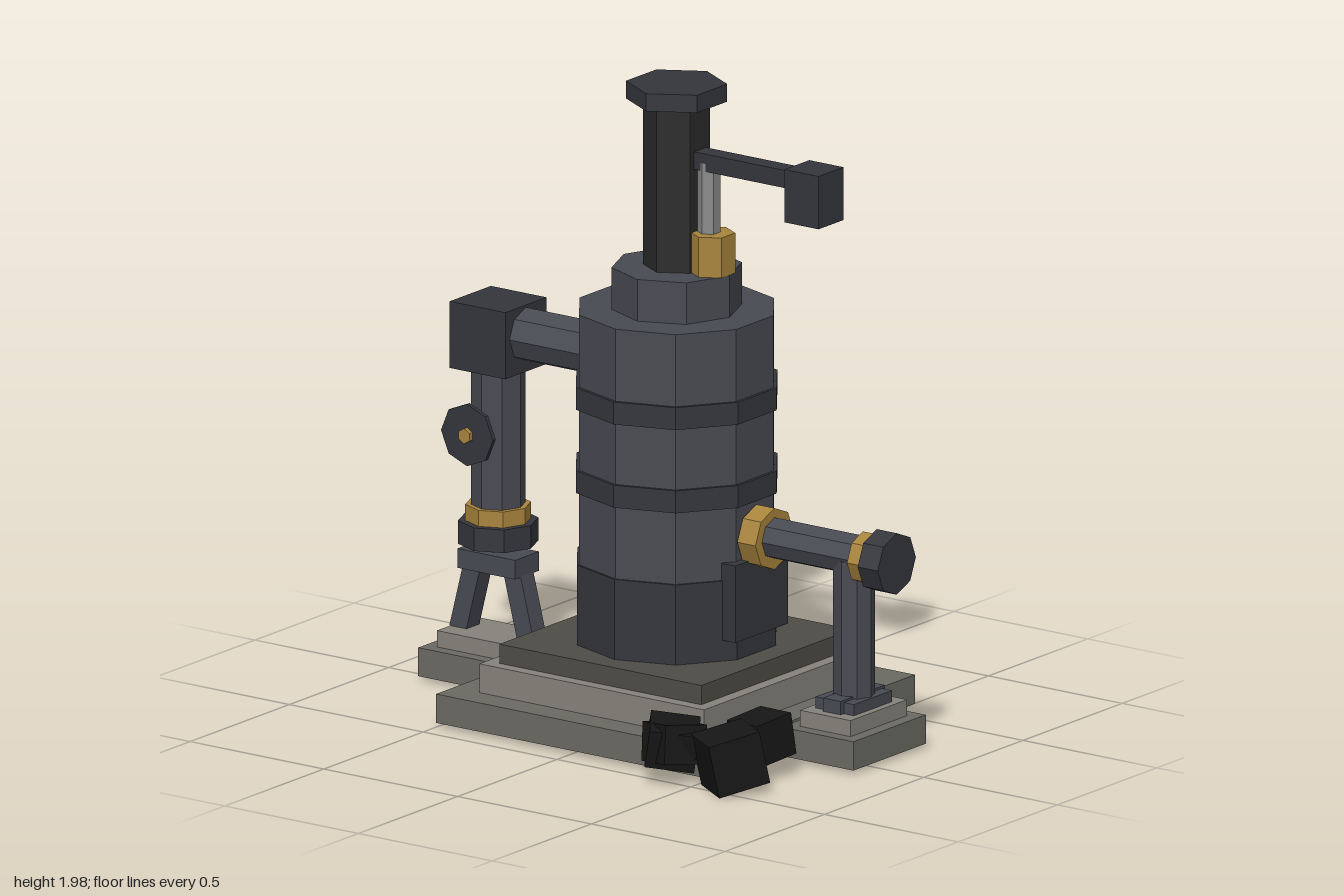
import * as THREE from 'three';

const Z = -0.08; // centre line of the machine
const mat = (color) => new THREE.MeshStandardMaterial({ color, flatShading: true });

const iron = mat(0x484a52);
const darkIron = mat(0x34363c);
const soot = mat(0x2a2a2a);
const brass = mat(0xa8843c);
const steel = mat(0x8a8a8a);
const stone = mat(0x6b6a62);
const paleStone = mat(0x85837a);
const darkStone = mat(0x4e4c47);
const coal = mat(0x161617);

export function createModel() {
  const model = new THREE.Group();

  const add = (name, geometry, material, x, y, z, parent = model) => {
    const mesh = new THREE.Mesh(geometry, material);
    mesh.name = name;
    mesh.position.set(x, y, z);
    parent.add(mesh);
    return mesh;
  };
  // Box given by its limits
  const box = (name, m, x0, x1, y0, y1, z0, z1, parent) =>
    add(name, new THREE.BoxGeometry(x1 - x0, y1 - y0, z1 - z0), m,
      (x0 + x1) / 2, (y0 + y1) / 2, (z0 + z1) / 2, parent);
  // Upright prism
  const post = (name, m, x, y0, y1, r, sides = 8, rTop = r) =>
    add(name, new THREE.CylinderGeometry(rTop, r, y1 - y0, sides), m, x, (y0 + y1) / 2, Z);
  // Prism lying along x
  const pipe = (name, m, x0, x1, y, r, sides = 8) => {
    const mesh = add(name, new THREE.CylinderGeometry(r, r, x1 - x0, sides), m, (x0 + x1) / 2, y, Z);
    mesh.rotation.z = Math.PI / 2;
    return mesh;
  };

  // Stepped foundation
  box('foundationSlab', stone, -0.5, 0.53, 0.03, 0.12, -0.59, 0.435);
  box('foundationStep', paleStone, -0.405, 0.435, 0.12, 0.21, -0.5, 0.345);
  box('boilerPlinth', darkStone, -0.36, 0.395, 0.21, 0.27, -0.455, 0.305);
  box('pumpPad', stone, -0.845, -0.455, 0.03, 0.119, -0.21, 0.06);
  box('pumpPadStep', paleStone, -0.805, -0.495, 0.119, 0.17, -0.17, 0.02);
  box('outletPad', stone, 0.545, 0.815, 0.03, 0.12, -0.26, 0.105);
  box('outletPadStep', paleStone, 0.585, 0.775, 0.12, 0.17, -0.22, 0.065);

  // Boiler
  const cx = 0.017;
  post('firebox', darkIron, cx, 0.27, 0.52, 0.314, 10);
  post('boilerShell', iron, cx, 0.52, 1.3, 0.307, 10);
  for (const y of [0.78, 1.04]) post('boilerBand', darkIron, cx, y - 0.035, y + 0.035, 0.317, 10);
  post('boilerCrown', iron, cx, 1.3, 1.43, 0.198, 8);
  post('chimney', soot, cx, 1.43, 1.945, 0.101, 6);
  post('chimneyCap', darkIron, cx, 1.945, 2.0, 0.153, 6);
  box('fireDoor', darkIron, 0.285, 0.337, 0.335, 0.575, -0.21, 0.055);

  // Weighted safety valve
  post('safetyValveNut', brass, 0.151, 1.43, 1.555, 0.069, 6);
  post('safetyValveRod', steel, 0.138, 1.555, 1.775, 0.035, 6);
  box('safetyValveLever', darkIron, 0.1, 0.48, 1.75, 1.805, Z - 0.03, Z + 0.03);
  box('safetyValveWeight', darkIron, 0.467, 0.595, 1.655, 1.82, -0.142, -0.016);

  // Steam pipe on the right
  const px = -0.65;
  pipe('steamPipe', iron, -0.56, -0.25, 1.118, 0.083);
  box('steamElbow', darkIron, px - 0.104, px + 0.104, 1.0, 1.208, Z - 0.104, Z + 0.104);
  post('steamDownPipe', iron, px, 0.56, 1.0, 0.083);
  post('steamPipeCollar', brass, px, 0.52, 0.572, 0.1);
  post('steamPipeFlange', darkIron, px, 0.45, 0.522, 0.122);

  // Hand wheel on the down pipe
  const stem = add('valveStem', new THREE.CylinderGeometry(0.024, 0.024, 0.11, 6), brass, px, 0.82, 0.037);
  const wheel = add('valveWheel', new THREE.CylinderGeometry(0.097, 0.097, 0.014, 8), darkIron, px, 0.82, 0.07);
  stem.rotation.x = wheel.rotation.x = Math.PI / 2;

  // Two-legged stand
  const stand = new THREE.Group();
  stand.name = 'pumpStand';
  model.add(stand);
  box('standPlate', iron, px - 0.108, px + 0.108, 0.365, 0.425, Z - 0.06, Z + 0.06, stand);
  for (const s of [-1, 1]) {
    const leg = add('standLeg', new THREE.BoxGeometry(0.062, 0.225, 0.065), iron, px + s * 0.1, 0.273, Z, stand);
    leg.rotation.z = s * 0.25;
  }

  // Outlet pipe on the left
  pipe('outletPipe', iron, 0.3, 0.78, 0.64, 0.064);
  pipe('outletBoilerCollar', brass, 0.315, 0.383, 0.637, 0.096);
  pipe('outletEndCollar', brass, 0.713, 0.766, 0.637, 0.08);
  pipe('outletEndCap', darkIron, 0.765, 0.84, 0.637, 0.096);
  post('outletLeg', iron, 0.68, 0.2, 0.63, 0.064);
  box('outletFoot', iron, 0.608, 0.752, 0.17, 0.205, -0.175, 0.017);
  box('outletFootRib', iron, 0.648, 0.714, 0.17, 0.212, -0.19, 0.033);

  // Coal heap: position, size, rotation
  const lumps = [
    [0.602, 0.14, 0.28, 0.135, 0.13, 0.14, 0.12, -0.18, 0.08],
    [0.615, 0.115, 0.455, 0.165, 0.165, 0.165, 0.25, -0.58, 0.15],
    [0.41, 0.135, 0.47, 0.15, 0.12, 0.15, 0.2, 0.6, -0.25],
    [0.42, 0.135, 0.475, 0.14, 0.12, 0.15, -0.35, 1.1, 0.2],
  ];
  for (const [x, y, z, w, h, d, rx, ry, rz] of lumps) {
    add('coalLump', new THREE.BoxGeometry(w, h, d), coal, x, y, z).rotation.set(rx, ry, rz);
  }

  return model;
}
